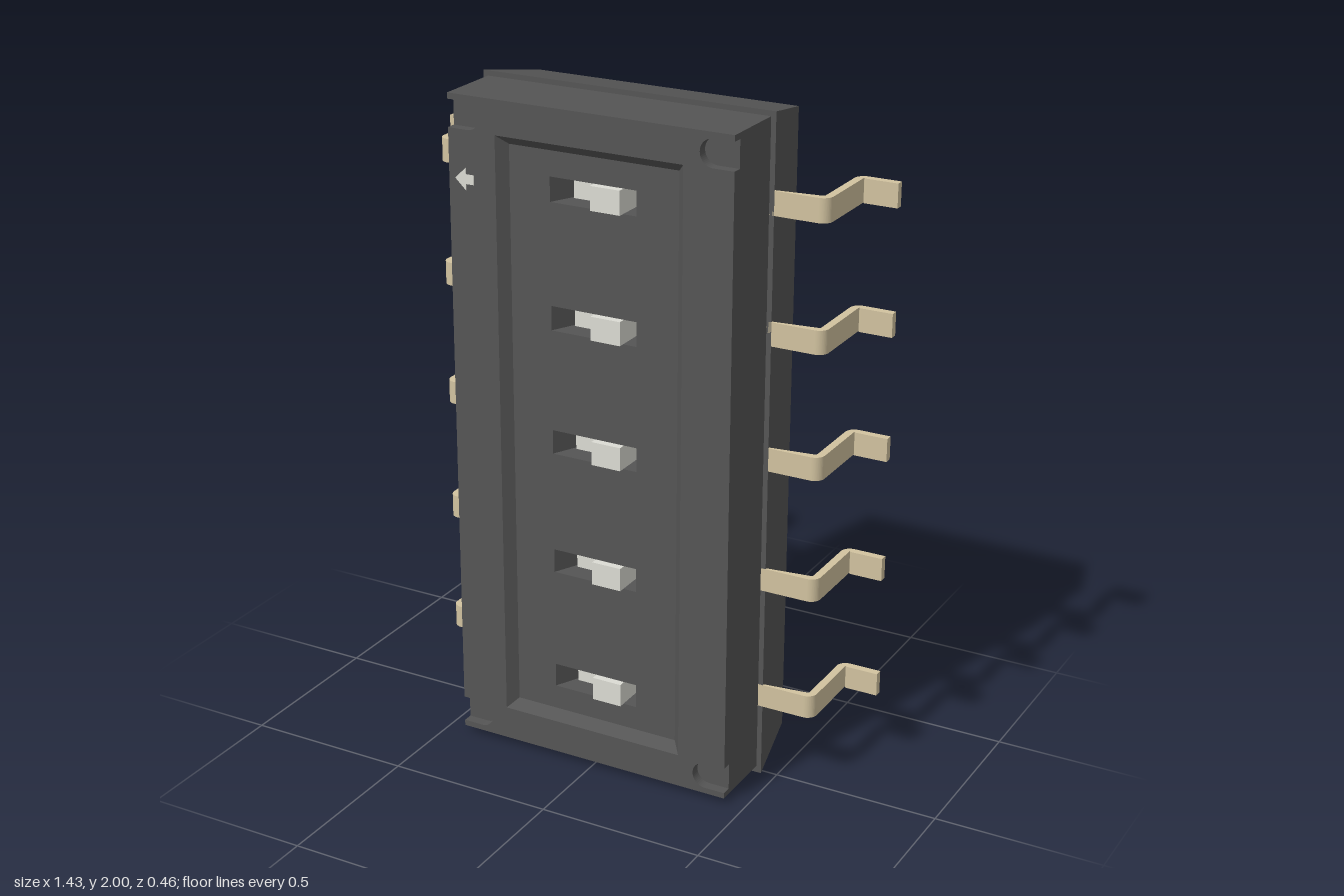
import * as THREE from 'three';

const bodyMat = new THREE.MeshStandardMaterial({ color: 0x555555 });
const pinMat = new THREE.MeshStandardMaterial({ color: 0xd2c3a0 });
const knobMat = new THREE.MeshStandardMaterial({ color: 0xdcdcd4 });

const MID = 1.0025;            // height of the housing centre
const PITCH = 0.3725;          // spacing of the switches
const W = 0.44, H = 0.9825;    // half size of the front housing
const FACE = 0.225, PANEL = 0.195, FLOOR = 0.115, SEAM = 0.015; // z levels

function add(parent, name, geometry, material, x = 0, y = 0, z = 0) {
  const mesh = new THREE.Mesh(geometry, material);
  mesh.name = name;
  mesh.position.set(x, y, z);
  parent.add(mesh);
  return mesh;
}

const rectPoints = (hw, hh, cy = 0) => [[-hw, cy - hh], [hw, cy - hh], [hw, cy + hh], [-hw, cy + hh]]
  .map(([x, y]) => new THREE.Vector2(x, y));

const slab = (shape, depth) =>
  new THREE.ExtrudeGeometry(shape, { depth, bevelEnabled: false, curveSegments: 12 });

// Four sloping walls leading from an outer rectangle down to an inner one
function funnel(ow, oh, iw, ih, depth) {
  const outer = rectPoints(ow, oh).map(p => [p.x, p.y, 0]);
  const inner = rectPoints(iw, ih).map(p => [p.x, p.y, -depth]);
  const pos = [];
  for (let i = 0; i < 4; i++) {
    const j = (i + 1) % 4;
    for (const p of [outer[i], outer[j], inner[j], outer[i], inner[j], inner[i]]) pos.push(...p);
  }
  const g = new THREE.BufferGeometry();
  g.setAttribute('position', new THREE.Float32BufferAttribute(pos, 3));
  g.computeVertexNormals();
  return g;
}

// Front outline with a round-ended notch cut in from the side at each corner
function rimShape() {
  const n = 0.925, r = 0.04, c = 0.378, q = Math.PI / 2;
  const s = new THREE.Shape();
  s.moveTo(-W, -H);
  s.lineTo(W, -H);
  for (const y of [-n, n]) {
    s.lineTo(W, y - r);
    s.lineTo(c, y - r);
    s.absarc(c, y, r, -q, q, true);
    s.lineTo(W, y + r);
  }
  s.lineTo(W, H);
  s.lineTo(-W, H);
  for (const y of [n, -n]) {
    s.lineTo(-W, y + r);
    s.lineTo(-c, y + r);
    s.absarc(-c, y, r, q, -q, true);
    s.lineTo(-W, y - r);
  }
  s.closePath();
  return s;
}

// Bent strip: out from the body, back, then out again as a foot
function pinGeometry() {
  const q = Math.PI / 2, R = 0.03, r = 0.007;
  const x0 = 0.40, x1 = 0.591, x2 = 0.614, x3 = 0.717;
  const top = 0.015, under = -0.008, footTop = -0.207, footBase = -0.23;
  const s = new THREE.Shape();
  s.moveTo(x0, under);
  s.absarc(x1 - r, under - r, r, q, 0, true);
  s.absarc(x1 + R, footBase + R, R, Math.PI, 1.5 * Math.PI, false);
  s.lineTo(x3, footBase);
  s.lineTo(x3, footTop);
  s.absarc(x2 + r, footTop - r, r, q, Math.PI, false);
  s.absarc(x2 - R, top - R, R, 0, q, false);
  s.lineTo(x0, top);
  s.closePath();
  return slab(s, 0.07).translate(0, 0, -0.035).rotateX(q);
}

export function createModel() {
  const model = new THREE.Group();
  model.name = 'slideSwitchBlock';
  const rows = [-2, -1, 0, 1, 2].map(i => i * PITCH);

  // Tapered rear half of the housing
  const base = new THREE.BoxGeometry(0.91, 2, 0.23);
  const p = base.attributes.position;
  for (let i = 0; i < p.count; i++) {
    if (p.getZ(i) < 0) p.setXY(i, Math.sign(p.getX(i)) * 0.412, Math.sign(p.getY(i)) * 0.955);
  }
  add(model, 'rearHousing', base.toNonIndexed(), bodyMat, 0, 1, SEAM - 0.115)
    .geometry.computeVertexNormals();

  // Front half: solid core, slotted panel and notched rim
  add(model, 'frontCore', new THREE.BoxGeometry(2 * W, 2 * H, FLOOR - SEAM), bodyMat,
    0, MID, (FLOOR + SEAM) / 2);

  const panel = new THREE.Shape(rectPoints(W, H));
  rows.forEach(y => panel.holes.push(new THREE.Path(rectPoints(0.135, 0.036, y).reverse())));
  add(model, 'slottedPanel', slab(panel, PANEL - FLOOR), bodyMat, 0, MID, FLOOR);

  const rim = rimShape();
  rim.holes.push(new THREE.Path(rectPoints(0.29, 0.882).reverse()));
  add(model, 'frontRim', slab(rim, FACE - PANEL), bodyMat, 0, MID, PANEL);
  add(model, 'windowBevel', funnel(0.29, 0.882, 0.263, 0.855, FACE - PANEL), bodyMat, 0, MID, FACE);

  // Switches and their pins
  const slot = funnel(0.135, 0.036, 0.096, 0.036, PANEL - FLOOR);
  const slider = new THREE.BoxGeometry(0.188, 0.07, 0.02);
  const knob = new THREE.BoxGeometry(0.092, 0.07, 0.08);
  const pin = pinGeometry();
  rows.forEach((dy, i) => {
    const row = new THREE.Group();
    row.name = `switch${i + 1}`;
    row.position.y = MID + dy;
    add(row, 'slotWalls', slot, bodyMat, 0, 0, PANEL);
    add(row, 'sliderBase', slider, knobMat, 0, 0, FLOOR + 0.01);
    add(row, 'sliderKnob', knob, knobMat, 0.048, 0, FLOOR + 0.06);
    add(row, 'leftPin', pin, pinMat);
    add(row, 'rightPin', pin, pinMat).rotation.z = Math.PI;
    model.add(row);
  });

  // Printed arrow beside the top switch
  const arrow = new THREE.Shape([[-0.03, 0], [0.005, -0.033], [0.005, -0.014], [0.03, -0.014],
    [0.03, 0.014], [0.005, 0.014], [0.005, 0.033]].map(a => new THREE.Vector2(...a)));
  add(model, 'arrowMark', slab(arrow, 0.002), knobMat, -0.39, MID + 2 * PITCH, FACE - 0.0005);

  return model;
}
